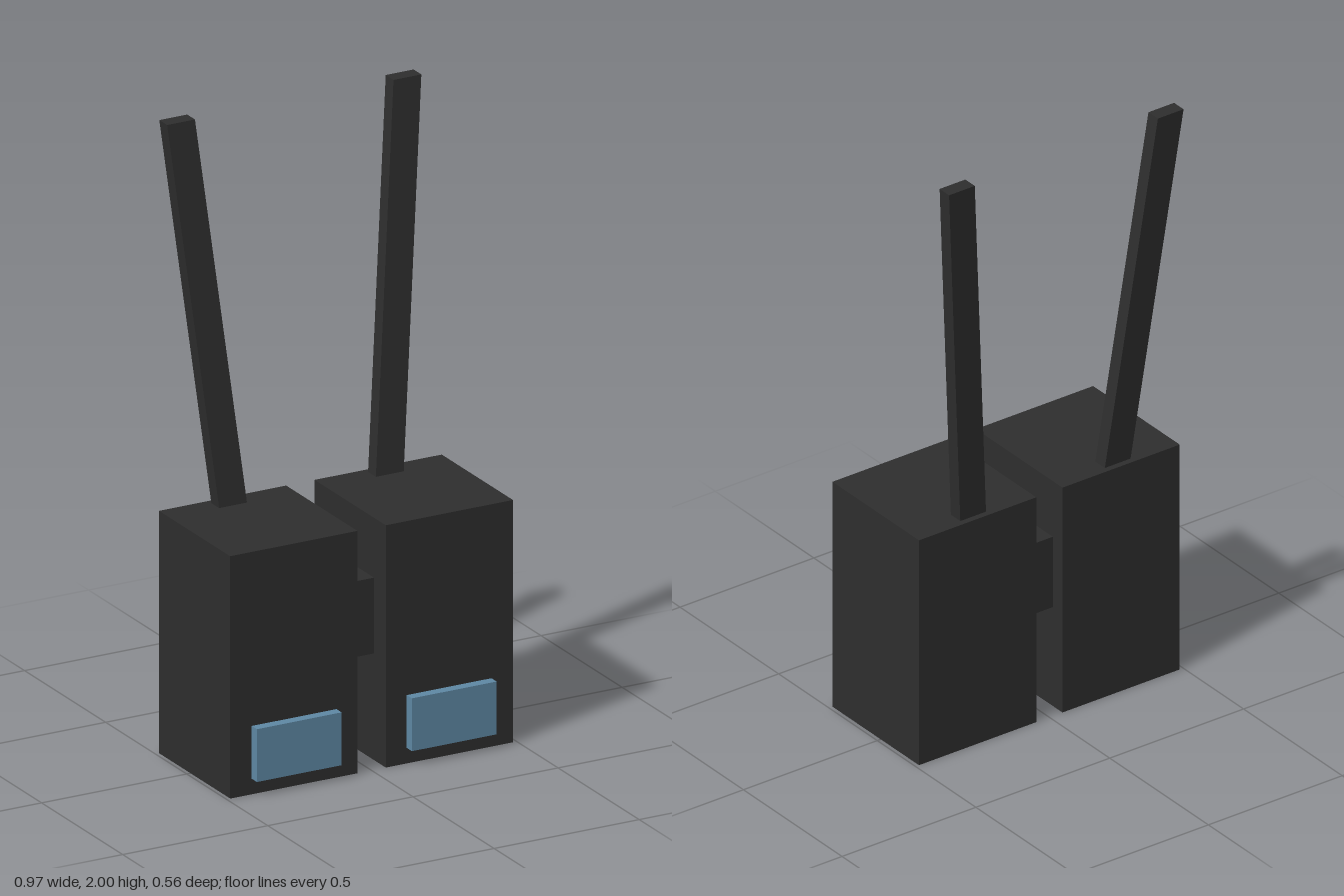
import * as THREE from 'three';

const dark = new THREE.MeshStandardMaterial({ color: 0x2e2e2e });
dark.name = 'charcoal';
const blue = new THREE.MeshStandardMaterial({ color: 0x5e88a4 });
blue.name = 'steelBlue';

// Box given by its limits on each axis
function block(name, material, [x0, x1], [y0, y1], [z0, z1]) {
  const geometry = new THREE.BoxGeometry(x1 - x0, y1 - y0, z1 - z0);
  const mesh = new THREE.Mesh(geometry, material);
  mesh.position.set((x0 + x1) / 2, (y0 + y1) / 2, (z0 + z1) / 2);
  mesh.name = name;
  return mesh;
}

// Leaning post with level ends: a box sheared outward and backward
function post(name, side) {
  const height = 1.22;
  const geometry = new THREE.BoxGeometry(0.096, height, 0.048);
  const p = geometry.attributes.position;
  for (let i = 0; i < p.count; i++) {
    const t = p.getY(i) / height + 0.5;
    p.setX(i, p.getX(i) + side * 0.12 * t);
    p.setZ(i, p.getZ(i) - 0.106 * t);
  }
  // Separate face corners keep the recomputed normals flat
  geometry.computeVertexNormals();
  const mesh = new THREE.Mesh(geometry, dark);
  mesh.position.set(side * 0.27, 0.78 + height / 2, -0.15);
  mesh.name = name;
  return mesh;
}

export function createModel() {
  const model = new THREE.Group();
  model.name = 'twinBlocks';

  for (const side of [-1, 1]) {
    const label = side > 0 ? 'left' : 'right';
    const span = (a, b) => (side > 0 ? [a, b] : [-b, -a]);
    model.add(
      block(label + 'Body', dark, span(0.049, 0.487), [0, 0.78], [-0.194, 0.245]),
      block(label + 'FrontPanel', blue, span(0.121, 0.413), [0.05, 0.22], [0.245, 0.277]),
      post(label + 'Post', side)
    );
  }

  // Link between the two bodies
  model.add(block('bridge', dark, [-0.049, 0.049], [0.343, 0.587], [-0.145, 0.172]));
  return model;
}
